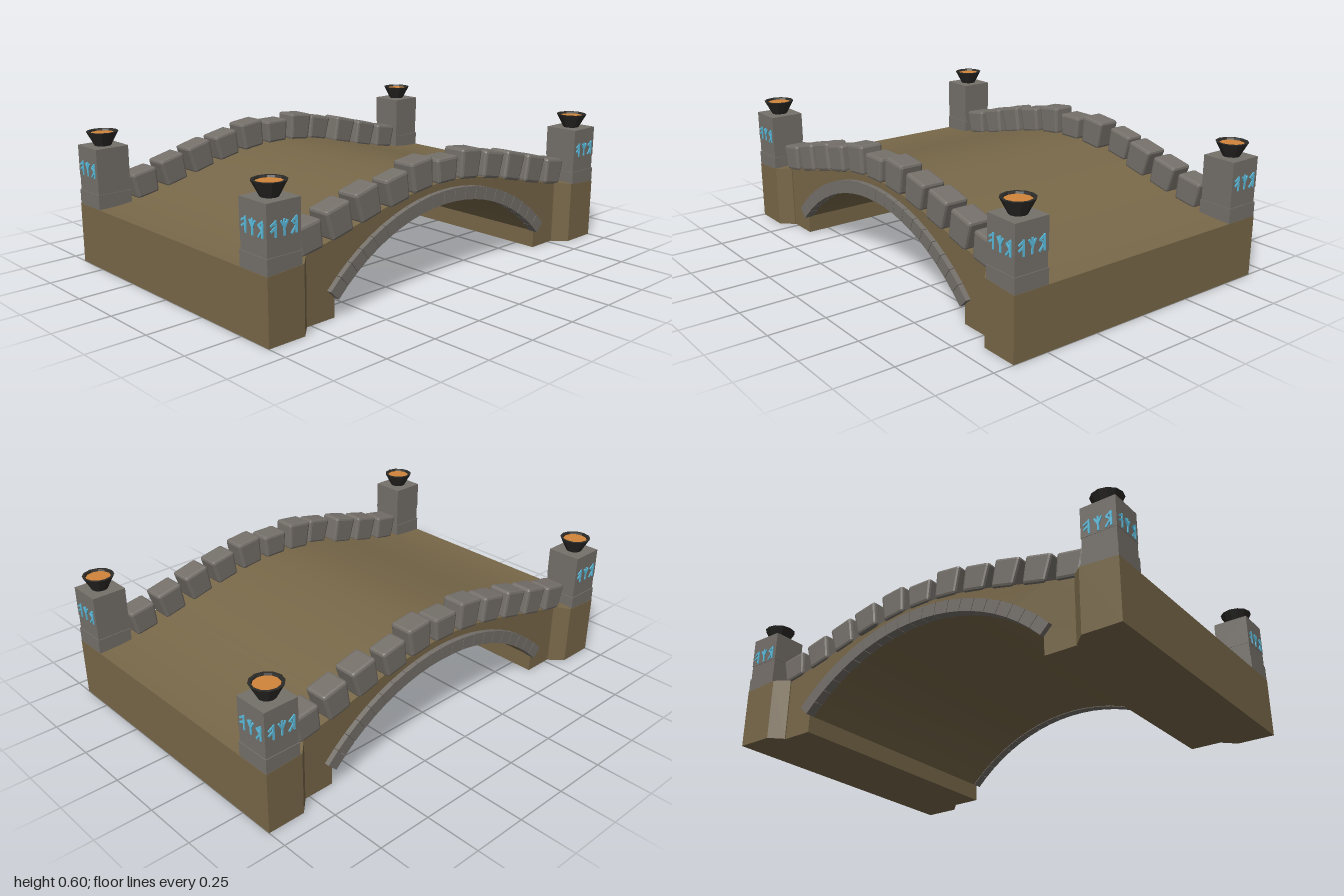
import * as THREE from 'three';
import { RoundedBoxGeometry } from 'three/addons/geometries/RoundedBoxGeometry.js';

const mat = (name, color, opts = {}) => {
  const m = new THREE.MeshStandardMaterial({ color, ...opts });
  m.name = name;
  return m;
};

// Height of the humped deck at a given z
const deckY = (z) => 0.27 + 0.08 * (1 + Math.cos(Math.PI * z));
const deckSlope = (z) => -0.08 * Math.PI * Math.sin(Math.PI * z);

// Arch circle
const ARCH_R = 0.881, ARCH_Y = -0.536, ARCH_HALF = Math.asin(0.63 / ARCH_R);

export function createModel() {
  const root = new THREE.Group();
  root.name = 'stoneBridge';
  const earth = mat('earthBrown', 0x786849);
  const stone = mat('greyStone', 0x75706a, { flatShading: true });
  const iron = mat('darkIron', 0x2c2b28, { flatShading: true, side: THREE.DoubleSide });
  const ember = mat('emberOrange', 0xd0853a);
  const glow = mat('glowBlue', 0x5cbfe0);

  const add = (parent, name, geo, material, x = 0, y = 0, z = 0) => {
    const mesh = new THREE.Mesh(geo, material);
    mesh.name = name;
    mesh.position.set(x, y, z);
    parent.add(mesh);
    return mesh;
  };

  // Bridge body: side profile extruded across the width
  const profile = new THREE.Shape();
  profile.moveTo(-1, 0);
  profile.lineTo(-0.63, 0);
  for (let i = 0; i <= 32; i++) {
    const a = -ARCH_HALF + (2 * ARCH_HALF * i) / 32;
    profile.lineTo(ARCH_R * Math.sin(a), ARCH_Y + ARCH_R * Math.cos(a));
  }
  profile.lineTo(0.63, 0);
  profile.lineTo(1, 0);
  for (let i = 0; i <= 40; i++) {
    const z = 1 - i / 20;
    profile.lineTo(z, deckY(z));
  }
  const body = new THREE.ExtrudeGeometry(profile, { depth: 1.2, bevelEnabled: false });
  body.translate(0, 0, -0.6);
  body.rotateY(Math.PI / 2);
  add(root, 'bridgeBody', body, earth);

  // Chamfered abutment wings widening the four corners; tops follow the deck
  const wingGeometry = (sx, sz) => {
    const plan = new THREE.Shape(
      [[0.59, 0.775], [0.605, 0.775], [0.66, 0.83], [0.66, 1], [0.59, 1]]
        .map(([x, z]) => new THREE.Vector2(sx * x, -sz * z)));
    const geo = new THREE.ExtrudeGeometry(plan, { depth: 1, bevelEnabled: false });
    geo.rotateX(-Math.PI / 2);
    const p = geo.attributes.position;
    for (let i = 0; i < p.count; i++) {
      if (p.getY(i) > 0.5) p.setY(i, deckY(p.getZ(i)));
    }
    geo.computeVertexNormals();
    return geo;
  };

  // Arch ring stones on both sides
  const RING = 21, step = (2 * ARCH_HALF) / RING;
  const ringShape = new THREE.Shape();
  const gap = step * 0.485, r0 = ARCH_R - 0.003, r1 = ARCH_R + 0.054;
  [[r0, -gap], [r0, gap], [r1, gap], [r1, -gap]].forEach(([r, a], i) =>
    ringShape[i ? 'lineTo' : 'moveTo'](r * Math.sin(a), r * Math.cos(a)));
  const ringGeo = new THREE.ExtrudeGeometry(ringShape, { depth: 0.045, bevelEnabled: false });
  ringGeo.translate(0, 0, -0.0225);
  ringGeo.rotateY(Math.PI / 2);
  for (const sx of [-1, 1]) {
    for (let i = 0; i < RING; i++) {
      const v = add(root, 'archStone', ringGeo, stone, sx * 0.6, ARCH_Y, 0);
      v.rotation.x = -ARCH_HALF + (i + 0.5) * step;
    }
  }

  // Parapet stones, slightly narrower at the foot, leaning with the deck
  const heights = [0.108, 0.13, 0.12, 0.128, 0.126, 0.118];
  const stoneGeometry = (w, h) => {
    const geo = new RoundedBoxGeometry(w, h, 0.126, 1, 0.012);
    const p = geo.attributes.position;
    for (let i = 0; i < p.count; i++) {
      if (p.getY(i) < 0) p.setZ(i, p.getZ(i) * 0.88);
    }
    return geo;
  };
  for (const sx of [-1, 1]) {
    for (let k = -5; k <= 5; k++) {
      const z = k * 0.151;
      const loose = k === 2 * sx; // one stone per side sits further out
      const h = heights[Math.abs(k)];
      const s = add(root, 'parapetStone', stoneGeometry(loose ? 0.09 : 0.11, h), stone,
        sx * (loose ? 0.577 : 0.557), deckY(z) + h / 2 - 0.004, z);
      s.rotation.x = -Math.atan(deckSlope(z));
    }
  }

  // Decorative marks: strokes as x1, y1, x2, y2 in a unit cell
  const marks = [
    [[0.3, -1, 0.3, 1], [0.3, 0.9, -0.7, 0.45], [0.3, 0.2, -0.7, -0.25]],
    [[0, -1, 0, 1], [0, -0.1, -0.7, 0.8], [0, -0.1, 0.7, 0.8]],
    [[0.5, -1, 0.5, 1], [0.5, 1, -0.5, 0.45], [-0.5, 0.45, 0.4, -0.1], [0.4, -0.1, -0.6, -1]],
  ];
  const markBand = () => {
    const band = new THREE.Group();
    band.name = 'glowingMarks';
    marks.forEach((strokes, i) => strokes.forEach(([x1, y1, x2, y2]) => {
      const dx = (x2 - x1) * 0.021, dy = (y2 - y1) * 0.029;
      const m = add(band, 'markStroke', new THREE.BoxGeometry(Math.hypot(dx, dy) + 0.005, 0.008, 0.006),
        glow, (i - 1) * 0.046 + (x1 + x2) * 0.0105, (y1 + y2) * 0.0145, 0);
      m.rotation.z = Math.atan2(dy, dx);
    }));
    return band;
  };

  // Fire bowl: flared open lathe with a thick rim
  const bowlGeo = new THREE.LatheGeometry(
    [[0, 0], [0.036, 0], [0.069, 0.062], [0.057, 0.062], [0.05, 0.045]]
      .map(([x, y]) => new THREE.Vector2(x, y)), 12);
  const emberGeo = new THREE.CircleGeometry(0.055, 12);
  emberGeo.rotateX(-Math.PI / 2);

  // Corner pillars
  const blocks = [[0.265, 0.335, 0.16], [0.335, 0.4, 0.153], [0.4, 0.535, 0.156]];
  for (const sx of [-1, 1]) {
    for (const sz of [-1, 1]) {
      add(root, 'abutmentWing', wingGeometry(sx, sz), earth);
      const pillar = new THREE.Group();
      pillar.name = 'cornerPillar';
      pillar.position.set(sx * 0.579, 0, sz * 0.919);
      for (const [y0, y1, w] of blocks) {
        add(pillar, 'pillarBlock', new THREE.BoxGeometry(w, y1 - y0, w), stone, 0, (y0 + y1) / 2, 0);
      }
      const endMarks = markBand();
      endMarks.position.set(0, 0.438, sz * 0.079);
      endMarks.rotation.y = sz > 0 ? 0 : Math.PI;
      const sideMarks = markBand();
      sideMarks.position.set(sx * 0.079, 0.438, 0);
      sideMarks.rotation.y = (sx * Math.PI) / 2;
      pillar.add(endMarks, sideMarks);
      add(pillar, 'fireBowl', bowlGeo, iron, 0, 0.535, 0);
      add(pillar, 'embers', emberGeo, ember, 0, 0.589, 0);
      root.add(pillar);
    }
  }
  return root;
}
